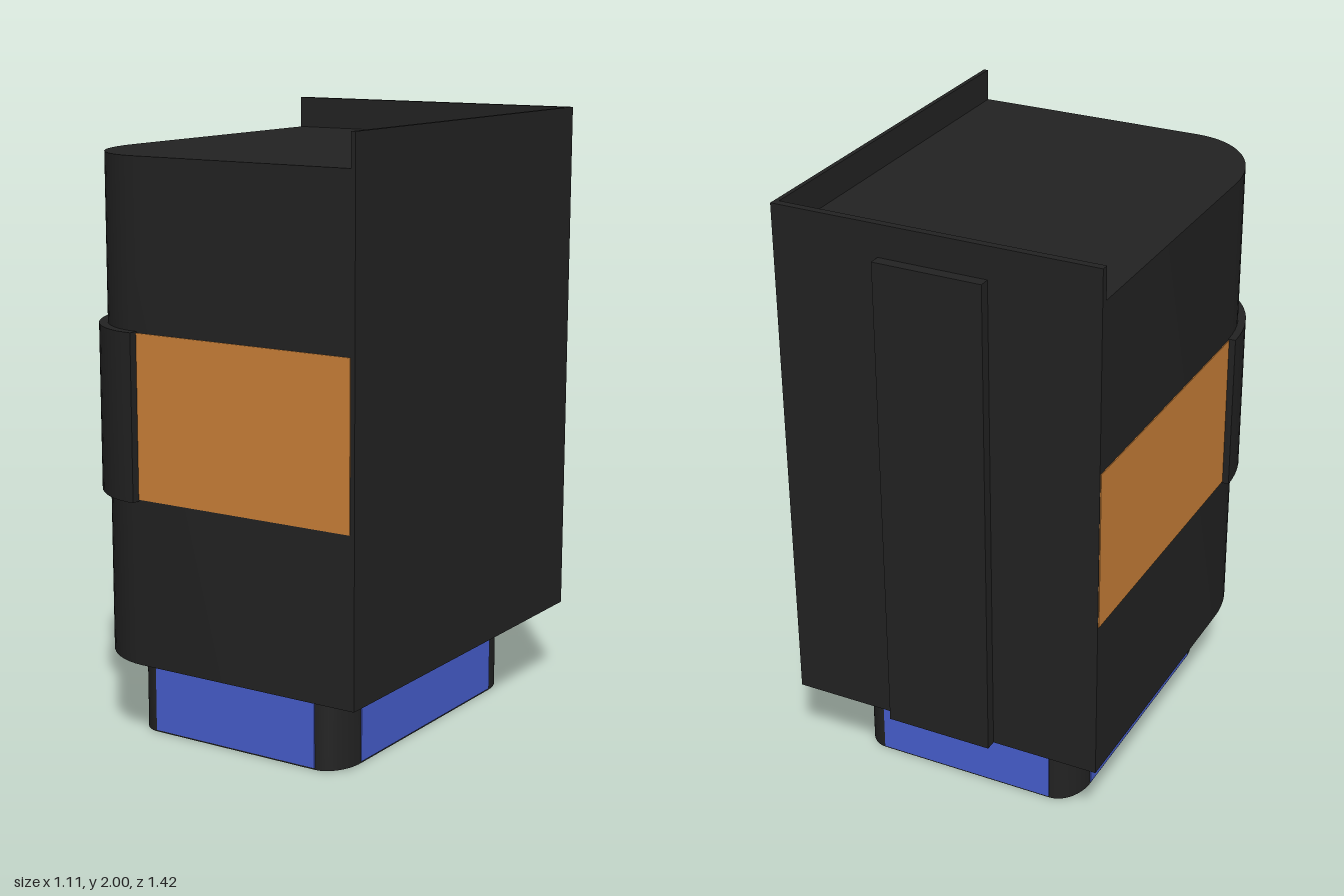
import * as THREE from 'three';
import { toCreasedNormals } from 'three/addons/utils/BufferGeometryUtils.js';

const black = new THREE.MeshStandardMaterial({ color: 0x222222 });
black.name = 'black casing';
const orange = new THREE.MeshStandardMaterial({ color: 0xca8038 });
orange.name = 'orange band';
const blue = new THREE.MeshStandardMaterial({ color: 0x465dcc });
blue.name = 'blue panel';

export function createModel() {
  const model = new THREE.Group();
  model.name = 'cabinet';

  function add(name, geometry, material) {
    const mesh = new THREE.Mesh(geometry, material);
    mesh.name = name;
    model.add(mesh);
  }

  // box given by its lower and upper limits on each axis
  function box(name, material, [x0, x1], [y0, y1], [z0, z1]) {
    const geometry = new THREE.BoxGeometry(x1 - x0, y1 - y0, z1 - z0);
    geometry.translate((x0 + x1) / 2, (y0 + y1) / 2, (z0 + z1) / 2);
    add(name, geometry, material);
  }

  // floor plan (x, z) raised from y0 to y1
  function prism(name, plan, y0, y1) {
    const geometry = new THREE.ExtrudeGeometry(plan, { depth: y1 - y0, bevelEnabled: false, curveSegments: 8 });
    geometry.rotateX(Math.PI / 2).translate(0, y1, 0);
    add(name, toCreasedNormals(geometry, 0.6), black);
  }

  // main body with one rounded front corner
  const cornerX = -0.25, cornerZ = 0.32;
  const body = new THREE.Shape();
  body.moveTo(-0.53, -0.65);
  body.lineTo(0.535, -0.65);
  body.lineTo(0.535, 0.68);
  body.lineTo(cornerX, 0.68);
  body.absellipse(cornerX, cornerZ, 0.28, 0.36, Math.PI / 2, Math.PI, false);
  prism('body', body, 0.275, 1.895);

  // taller wall panels and the rear spine
  box('sidePanel', black, [0.535, 0.55], [0.275, 2], [-0.675, 0.68]);
  box('backPanel', black, [-0.53, 0.535], [0.275, 2], [-0.675, -0.65]);
  box('backSpine', black, [-0.17, 0.19], [0.275, 1.895], [-0.712, -0.675]);

  // curved cover around the rounded corner
  const cover = new THREE.Shape();
  cover.moveTo(cornerX, 0.712);
  cover.absellipse(cornerX, cornerZ, 0.305, 0.392, Math.PI / 2, Math.PI, false);
  cover.lineTo(-0.525, cornerZ);
  cover.absellipse(cornerX, cornerZ, 0.275, 0.355, Math.PI, Math.PI / 2, true);
  prism('cornerCover', cover, 0.815, 1.355);

  // orange band on the front and the outer side
  box('frontBand', orange, [cornerX, 0.535], [0.82, 1.35], [0.677, 0.683]);
  box('sideBand', orange, [-0.533, -0.527], [0.82, 1.35], [-0.672, cornerZ]);

  // base with four rounded corners
  const cx = 0.01, cz = 0.005, hx = 0.4, hz = 0.54, rx = 0.09, rz = 0.127;
  const base = new THREE.Shape();
  [[1, 1], [-1, 1], [-1, -1], [1, -1]].forEach(([sx, sz], i) => {
    base.absellipse(cx + sx * (hx - rx), cz + sz * (hz - rz), rx, rz, i * Math.PI / 2, (i + 1) * Math.PI / 2, false);
  });
  prism('base', base, 0, 0.275);

  // blue panels on all four sides of the base
  const height = [0.006, 0.268], t = 0.003;
  for (const s of [-1, 1]) {
    const x = cx + s * hx, z = cz + s * hz;
    box(s > 0 ? 'baseFrontPanel' : 'baseBackPanel', blue, [cx - hx + rx, cx + hx - rx], height, [z - t, z + t]);
    box(s > 0 ? 'baseLeftPanel' : 'baseRightPanel', blue, [x - t, x + t], height, [cz - hz + rz, cz + hz - rz]);
  }

  return model;
}
